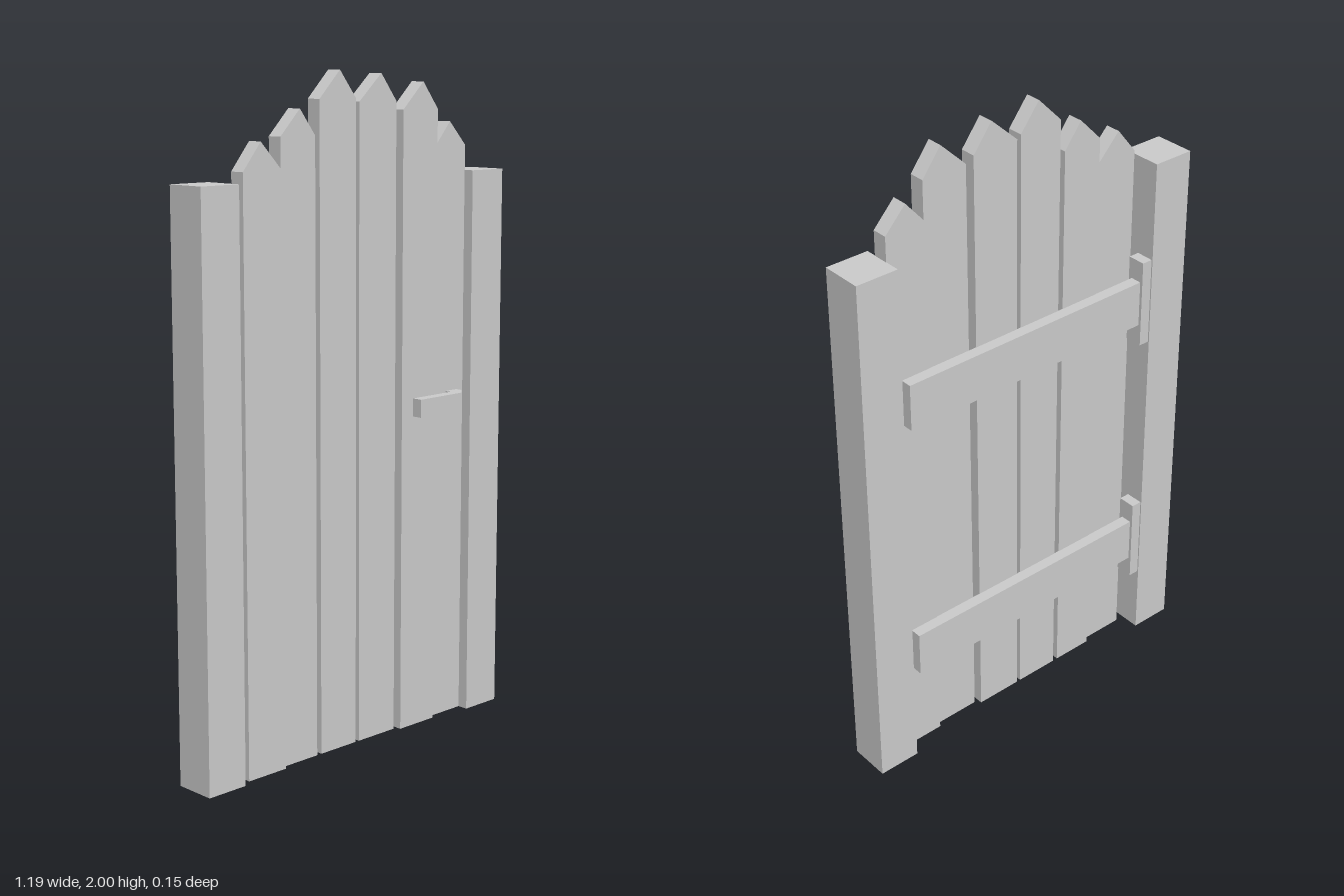
import * as THREE from 'three';

const material = new THREE.MeshStandardMaterial({ color: 0xcccccc, flatShading: true });

// Box given by its minimum and maximum corners
function box(name, [x0, y0, z0], [x1, y1, z1]) {
  const mesh = new THREE.Mesh(new THREE.BoxGeometry(x1 - x0, y1 - y0, z1 - z0), material);
  mesh.position.set((x0 + x1) / 2, (y0 + y1) / 2, (z0 + z1) / 2);
  mesh.name = name;
  return mesh;
}

// Straight extrusion of an outline
function extrude(points, depth) {
  const shape = new THREE.Shape(points.map(([x, y]) => new THREE.Vector2(x, y)));
  return new THREE.ExtrudeGeometry(shape, { depth, bevelEnabled: false });
}

// Upright board with an off-centre pointed top
function plank(left, right, shoulder, peakX, peakY, back) {
  const outline = [[left, 0], [right, 0], [right, shoulder], [peakX, peakY], [left, shoulder]];
  const mesh = new THREE.Mesh(extrude(outline, 0.048), material);
  mesh.position.z = back;
  mesh.name = 'plank';
  return mesh;
}

export function createModel() {
  const gate = new THREE.Group();
  gate.name = 'gate';

  // Side posts
  gate.add(box('leftPost', [0.461, 0, -0.077], [0.595, 1.7, 0.052]));
  gate.add(box('rightPost', [-0.598, 0, -0.077], [-0.465, 1.7, 0.052]));

  // Pointed planks: left, right, shoulder height, peak x, peak y, back z
  const planks = [
    [-0.436, -0.295, 1.73, -0.371, 1.81, -0.014],
    [-0.286, -0.156, 1.82, -0.213, 1.895, -0.029],
    [-0.139, 0.003, 1.92, -0.06, 2.0, -0.029],
    [0.016, 0.166, 1.91, 0.104, 1.99, -0.029],
    [0.18, 0.325, 1.885, 0.263, 1.965, -0.014],
    [0.332, 0.462, 1.775, 0.394, 1.847, -0.029],
  ];
  for (const p of planks) gate.add(plank(...p));

  // Cross rails on the back, each with a hinge block against the right post
  for (const y of [0.37, 1.25]) {
    gate.add(box('rail', [-0.432, y - 0.073, -0.064], [0.427, y + 0.073, -0.028]));
    gate.add(box('hinge', [-0.467, y - 0.14, -0.073], [-0.431, y + 0.14, -0.016]));
  }

  // Handle: bent bar with a chamfered corner, drawn as (x, -z) and raised along y
  const bar = [
    [0.222, -0.073], [0.4, -0.073], [0.434, -0.041], [0.434, -0.016],
    [0.385, -0.016], [0.385, -0.04], [0.222, -0.04],
  ];
  const handle = new THREE.Mesh(extrude(bar, 0.055).rotateX(-Math.PI / 2), material);
  handle.position.y = 0.976;
  handle.name = 'handle';
  gate.add(handle);

  return gate;
}
